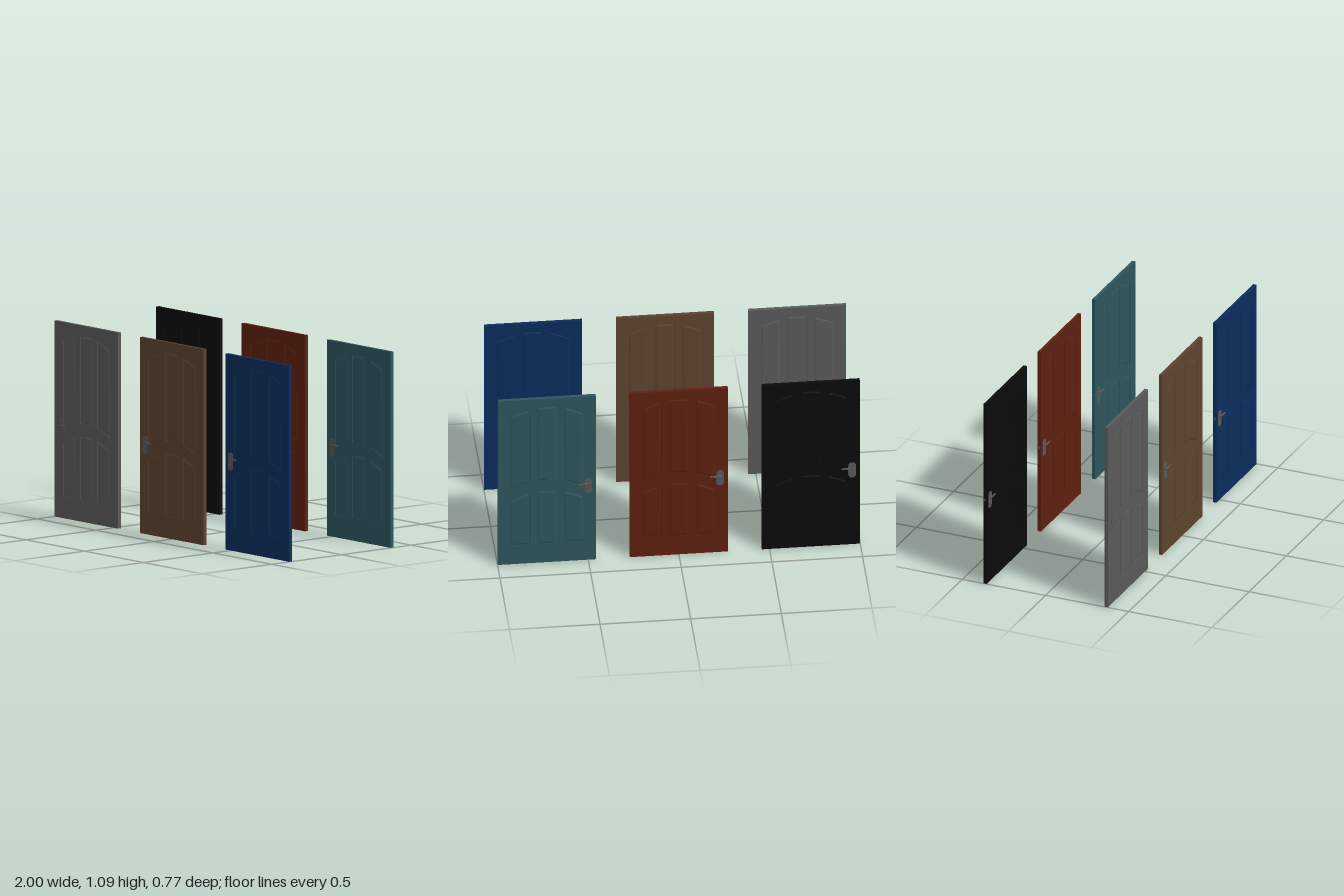
import * as THREE from 'three';

const W = 0.54, H = 1.09, T = 0.02;

const mat = (name, color) => {
  const m = new THREE.MeshStandardMaterial({ color });
  m.name = name;
  return m;
};

// Outline through corner points
const outline = (pts, Type = THREE.Shape) => new Type(pts.map(p => new THREE.Vector2(...p)));

// Panel outline between two arched edges: bottom(x) and top(x)
function panelPoints(x0, x1, bottom, top) {
  const pts = [], n = 6;
  for (let i = 0; i <= n; i++) {
    const x = x0 + (x1 - x0) * i / n;
    pts.push([x, bottom(x)]);
  }
  for (let i = n; i >= 0; i--) {
    const x = x0 + (x1 - x0) * i / n;
    pts.push([x, top(x)]);
  }
  return pts;
}

// Extrusion centred on z = 0
function slab(shape, depth, bevel = 0, bevelSize = 0) {
  const g = new THREE.ExtrudeGeometry(shape, {
    depth, curveSegments: 10, bevelEnabled: bevel > 0, bevelThickness: bevel,
    bevelSize, bevelOffset: -bevelSize, bevelSegments: 1,
  });
  return g.translate(0, 0, -depth / 2);
}

export function createModel() {
  const model = new THREE.Group();
  model.name = 'doorSet';
  const metal = mat('handle grey', 0x585858);

  // Six panels: three columns, two rows, arched along a shared curve
  const arch = y => x => y - 1.35 * x * x;
  const flat = () => 0.125;
  const columns = [[-0.2, -0.097], [-0.053, 0.053], [0.097, 0.2]];
  const panels = [];
  for (const [a, b] of columns) {
    panels.push(panelPoints(a, b, flat, arch(0.475)));
    panels.push(panelPoints(a, b, arch(0.547), arch(1.033)));
  }

  // Frame with openings, and raised fields that slope down to the frame
  const frameShape = outline([[-W / 2, 0], [W / 2, 0], [W / 2, H], [-W / 2, H]]);
  frameShape.holes = panels.map(p => outline(p, THREE.Path));
  const frameGeo = slab(frameShape, T);
  const panelGeos = panels.map(p => slab(outline(p), 0.013, 0.003, 0.011));

  // Handle parts
  const r = 0.0215, plateShape = new THREE.Shape();
  plateShape.absarc(0, 0.0285, r, 0, Math.PI);
  plateShape.absarc(0, -0.0285, r, Math.PI, Math.PI * 2);
  plateShape.closePath();
  const plateGeo = slab(plateShape, T + 0.004);
  const spindleGeo = new THREE.CylinderGeometry(0.006, 0.006, 0.038, 12).rotateX(Math.PI / 2);
  const leverShape = new THREE.Shape();
  leverShape.absarc(0, 0, 0.0075, Math.PI / 2, Math.PI * 1.5);
  leverShape.lineTo(0.055, -0.004);
  leverShape.absarc(0.055, 0, 0.004, -Math.PI / 2, Math.PI / 2);
  leverShape.closePath();
  const leverGeo = slab(leverShape, 0.003, 0.001, 0.001);
  const latchGeo = new THREE.BoxGeometry(0.008, 0.014, 0.008);

  function add(group, name, geo, material, x = 0, y = 0, z = 0) {
    const m = new THREE.Mesh(geo, material);
    m.name = name;
    m.position.set(x, y, z);
    group.add(m);
  }

  function door(name, material, x, z) {
    const g = new THREE.Group();
    g.name = name;
    add(g, 'frame', frameGeo, material);
    panelGeos.forEach(geo => add(g, 'panel', geo, material));
    add(g, 'handlePlate', plateGeo, metal, -0.2275, 0.495);
    add(g, 'spindle', spindleGeo, metal, -0.2275, 0.509);
    for (const s of [-1, 1]) add(g, 'lever', leverGeo, metal, -0.2275, 0.509, s * 0.0195);
    add(g, 'latch', latchGeo, metal, -0.2685, 0.509);
    g.position.set(x, 0, z);
    model.add(g);
  }

  // Two rows of three doors
  const row = 0.364, step = 0.728;
  door('greyDoor', mat('door grey', 0x5a5a5a), -step, row);
  door('brownDoor', mat('door brown', 0x5e432e), 0, row);
  door('blueDoor', mat('door blue', 0x0b2d5c), step, row);
  door('blackDoor', mat('door black', 0x0b0b0b), -step, -row);
  door('redDoor', mat('door red brown', 0x5e200e), 0, -row);
  door('tealDoor', mat('door teal', 0x2d565f), step, -row);
  return model;
}
